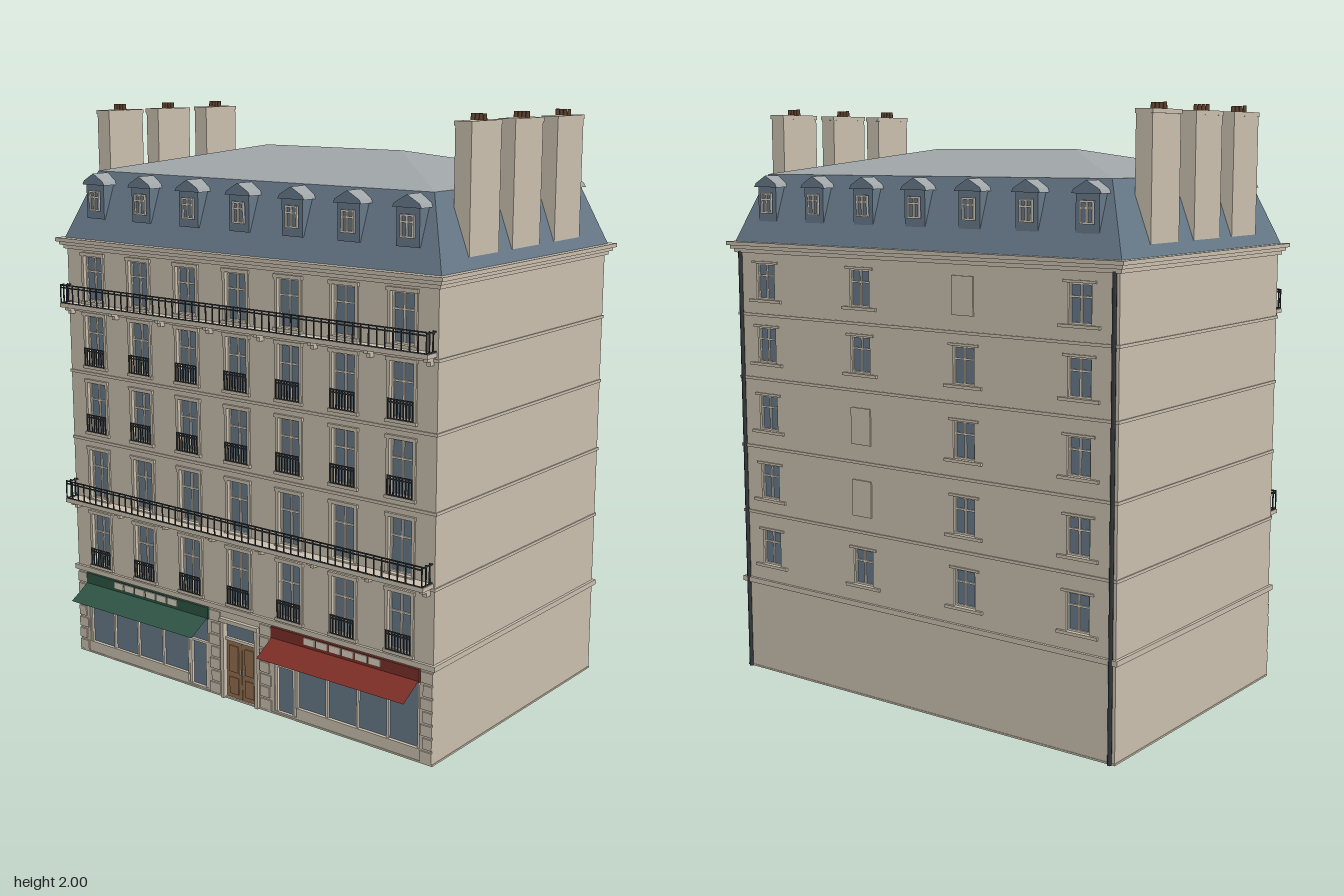
import * as THREE from 'three';

const mat = (name, color, side = THREE.FrontSide) => {
  const m = new THREE.MeshStandardMaterial({ color, side });
  m.name = name;
  return m;
};

export function createModel() {
  const stone = mat('stone', 0xcdc2b0), slate = mat('slate', 0x687a8a), zinc = mat('zinc', 0xa0a5a8);
  const glass = mat('glass', 0x687b8b), trim = mat('trim', 0xdcd3c2), iron = mat('iron', 0x34383c);
  const green = mat('greenCloth', 0x2f5546, THREE.DoubleSide), red = mat('redCloth', 0x7d2f27, THREE.DoubleSide);
  const wood = mat('wood', 0x94704f), clay = mat('clay', 0x5f432f);

  const model = new THREE.Group();
  model.name = 'cornerlessTownhouse';
  const group = (name, parent) => {
    const g = new THREE.Group();
    g.name = name;
    parent.add(g);
    return g;
  };
  const add = (parent, name, geo, m) => {
    const mesh = new THREE.Mesh(geo, m);
    mesh.name = name;
    parent.add(mesh);
    return mesh;
  };
  // box given by its limits on each axis
  const box = (parent, name, m, x0, x1, y0, y1, z0, z1) => {
    const b = add(parent, name, new THREE.BoxGeometry(x1 - x0, y1 - y0, z1 - z0), m);
    b.position.set((x0 + x1) / 2, (y0 + y1) / 2, (z0 + z1) / 2);
    return b;
  };

  const W = 0.79, ZF = 0.473, ZB = -0.535, TOP = 1.51, T = 0.02;
  // facade groups: local z = 0 is the outer wall surface
  const front = group('frontFacade', model);
  front.position.z = ZF;
  const back = group('backFacade', model);
  back.position.z = ZB;
  back.rotation.y = Math.PI;

  // wall with rectangular openings [x0, x1, y0, y1]
  const wall = (parent, name, holes) => {
    const rect = (C, x0, x1, y0, y1) => new C([[x0, y0], [x1, y0], [x1, y1], [x0, y1]].map(p => new THREE.Vector2(...p)));
    const s = rect(THREE.Shape, -W, W, 0, TOP);
    holes.forEach(h => s.holes.push(rect(THREE.Path, ...h)));
    const g = new THREE.ExtrudeGeometry(s, { depth: T, bevelEnabled: false });
    add(parent, name, g.translate(0, 0, -T), stone);
  };

  // glazed casement with mullion, transom and raised surround
  const casement = (parent, x, y0, y1, w, z = -0.012, surround = true) => {
    const g = group('window', parent), h = w / 2, f = 0.006;
    g.position.x = x;
    box(g, 'pane', glass, -h, h, y0, y1, z - 0.006, z);
    const ym = y0 + (y1 - y0) * 0.64, zf = z + 0.005;
    [-h, -f / 2, h - f].forEach(a => box(g, 'stile', trim, a, a + f, y0, y1, z, zf));
    [y0, ym, y1 - f].forEach(a => box(g, 'bar', trim, -h, h, a, a + f, z, zf));
    if (surround) {
      [-h - 0.011, h].forEach(a => box(g, 'jamb', stone, a, a + 0.011, y0, y1, -0.004, 0.006));
      box(g, 'lintel', stone, -h - 0.014, h + 0.014, y1, y1 + 0.012, -0.004, 0.009);
      box(g, 'sill', stone, -h - 0.014, h + 0.014, y0 - 0.01, y0, -0.004, 0.011);
    }
    return g;
  };

  // iron railing along x with closely set balusters
  const railing = (parent, x0, x1, y0, y1, z, step) => {
    const g = group('railing', parent), t = 0.004;
    [y0, y0 + (y1 - y0) * 0.8, y1 - t].forEach(y => box(g, 'rail', iron, x0, x1, y, y + t, z - t, z));
    const n = Math.round((x1 - x0) / step);
    for (let i = 0; i <= n; i++) {
      const x = x0 + (x1 - x0) * i / n;
      box(g, 'baluster', iron, x - 0.0018, x + 0.0018, y0, y1, z - 0.0035, z);
    }
  };

  // front wall and its windows
  const cols = [-3, -2, -1, 0, 1, 2, 3].map(i => i * 0.2205);
  const rows = [[0.35, 0.545], [0.605, 0.785], [0.852, 1.032], [1.093, 1.273], [1.325, 1.485]];
  const holes = [[-0.07, 0.07, 0.004, 0.28], [0.15, 0.74, 0.012, 0.272], [-0.74, -0.15, 0.012, 0.272]];
  cols.forEach(x => rows.forEach(([a, b]) => holes.push([x - 0.044, x + 0.044, a, b])));
  wall(front, 'frontWall', holes);
  cols.forEach(x => rows.forEach(([a, b], r) => {
    casement(front, x, a, b, 0.088);
    if (r !== 1 && r !== 4) railing(front, x - 0.046, x + 0.046, a, a + 0.065, 0.012, 0.0115);
  }));

  // back wall, a few openings bricked up
  const blind = { '1,1': 1, '1,2': 1, '2,4': 1 };
  const backHoles = [], bw = 0.085;
  const backWindows = [];
  [0.66, 0.225, -0.21, -0.65].forEach((x, c) => [0.455, 0.695, 0.942, 1.183, 1.405].forEach((y, r) =>
    backWindows.push([-x, y - 0.06, y + 0.065, blind[c + ',' + r]])));
  backWindows.forEach(([x, a, b, shut]) => shut || backHoles.push([x - bw / 2, x + bw / 2, a, b]));
  wall(back, 'backWall', backHoles);
  backWindows.forEach(([x, a, b, shut]) => {
    if (shut) box(back, 'blindWindow', stone, x - bw / 2, x + bw / 2, a, b, -0.002, 0.005);
    else {
      const g = casement(back, x, a, b, bw, -0.012, false);
      box(g, 'sill', stone, -0.075, 0.075, a - 0.01, a, -0.004, 0.009);
      box(g, 'lintel', stone, -0.06, 0.06, b, b + 0.008, -0.004, 0.005);
    }
  });
  // drainpipes
  [-0.775, 0.775].forEach(x => {
    const p = add(back, 'drainpipe', new THREE.CylinderGeometry(0.007, 0.007, TOP, 8), iron);
    p.position.set(x, TOP / 2, 0.006);
  });

  // side walls and string courses
  [-1, 1].forEach(s => {
    const x = s * (W - T / 2);
    box(model, 'sideWall', stone, x - T / 2, x + T / 2, 0, TOP, ZB + T, ZF - T);
  });
  const band = (name, y0, y1, out) => {
    const g = group(name, model);
    box(g, 'bandFront', stone, -W - out, W + out, y0, y1, ZF - 0.005, ZF + out);
    box(g, 'bandBack', stone, -W - out, W + out, y0, y1, ZB - out, ZB + 0.005);
    [-1, 1].forEach(s => box(g, 'bandSide', stone, s * W - (s < 0 ? out : 0.005), s * W + (s > 0 ? out : 0.005), y0, y1, ZB, ZF));
  };
  band('groundCourse', 0.318, 0.336, 0.01);
  [0.575, 0.815, 1.06, 1.285].forEach(y => band('stringCourse', y, y + 0.01, 0.004));
  band('cornerPlinth', 0, 0.006, 0.002);
  [[1.505, 1.518, 0.01], [1.518, 1.53, 0.02], [1.53, 1.543, 0.03]].forEach(([a, b, o]) =>
    box(model, 'cornice', stone, -W - o, W + o, a, b, ZB - o, ZF + o));

  // balconies with brackets
  [[0.6, 0.057], [1.315, 0.05]].forEach(([y, d]) => {
    const g = group('balcony', front);
    box(g, 'slab', stone, -0.785, 0.785, y - 0.014, y, 0, d);
    for (let i = -3.5; i <= 3.5; i++) {
      const x = i * 0.2195;
      box(g, 'bracket', stone, x - 0.007, x + 0.007, y - 0.026, y - 0.014, 0, d * 0.7);
      box(g, 'bracketFoot', stone, x - 0.007, x + 0.007, y - 0.04, y - 0.026, 0, d * 0.4);
    }
    railing(g, -0.78, 0.78, y, y + 0.068, d, 0.03);
    [-0.78, 0.78].forEach(x => {
      [0.004, 0.064].forEach(h => box(g, 'endRail', iron, x - 0.002, x + 0.002, y + h - 0.004, y + h, 0, d));
      [0.014, 0.034].forEach(z => box(g, 'endBaluster', iron, x - 0.002, x + 0.002, y, y + 0.068, z - 0.002, z + 0.002));
    });
  });

  // entrance door
  const door = group('entrance', front);
  [-1, 1].forEach(s => {
    box(door, 'doorLeaf', wood, s * 0.035 - 0.034, s * 0.035 + 0.034, 0, 0.214, -0.018, -0.008);
    [[0.02, 0.08], [0.1, 0.195]].forEach(([a, b]) =>
      box(door, 'doorPanel', wood, s * 0.035 - 0.02, s * 0.035 + 0.02, a, b, -0.009, -0.004));
    box(door, 'doorHandle', trim, s * 0.008 - 0.002, s * 0.008 + 0.002, 0.095, 0.115, -0.008, -0.002);
    box(door, 'doorJamb', stone, s * 0.076 - 0.007, s * 0.076 + 0.007, 0, 0.286, -0.01, 0.01);
  });
  box(door, 'transomBar', trim, -0.07, 0.07, 0.212, 0.222, -0.018, -0.002);
  box(door, 'fanlight', glass, -0.07, 0.07, 0.22, 0.28, -0.018, -0.012);
  box(door, 'doorHead', stone, -0.085, 0.085, 0.278, 0.292, -0.01, 0.014);

  // shops: glazing, door, fascia and sloping awning
  [[-1, green], [1, red]].forEach(([s, cloth]) => {
    const g = group('shop', front);
    const b = (name, m, a, c, ...r) => box(g, name, m, Math.min(s * a, s * c), Math.max(s * a, s * c), ...r);
    b('shopGlass', glass, 0.15, 0.74, 0.012, 0.272, -0.017, -0.012);
    b('stallRiser', stone, 0.245, 0.74, 0.01, 0.045, -0.018, 0);
    [0.245, 0.37, 0.495, 0.615, 0.735].forEach(x => b('mullion', trim, x - 0.004, x + 0.004, 0.04, 0.272, -0.012, -0.004));
    [0.157, 0.233].forEach(x => b('doorFrame', trim, x - 0.005, x + 0.005, 0.01, 0.18, -0.012, -0.002));
    b('doorFrameTop', trim, 0.152, 0.238, 0.172, 0.18, -0.012, -0.002);
    b('fascia', cloth, 0.142, 0.742, 0.27, 0.312, 0, 0.008);
    for (let i = 0; i < 6; i++) b('fasciaPlate', trim, 0.285 + i * 0.053, 0.33 + i * 0.053, 0.285, 0.308, 0.008, 0.011);
    const awning = new THREE.PlaneGeometry(0.595, 1);
    const p = awning.attributes.position;
    for (let i = 0; i < 4; i++) p.setXYZ(i, p.getX(i) + s * 0.4425, i < 2 ? 0.275 : 0.225, i < 2 ? 0.006 : 0.087);
    awning.computeVertexNormals();
    add(g, 'awning', awning, cloth);
    // rusticated blocks beside the shop
    for (let i = 0; i < 7; i++) {
      b('quoin', stone, 0.79, i % 2 ? 0.755 : 0.746, 0.008 + i * 0.044, 0.044 + i * 0.044, -0.002, 0.005);
      b('pierBlock', stone, 0.09, i % 2 ? 0.13 : 0.138, 0.008 + i * 0.044, 0.044 + i * 0.044, -0.002, 0.005);
    }
  });

  // roof slopes between two rectangles [halfWidth, y, zFront, zBack]
  const slopes = (name, lo, hi, m) => {
    const ring = ([x, y, zf, zb]) => [[-x, y, zf], [x, y, zf], [x, y, zb], [-x, y, zb]];
    const A = ring(lo), B = ring(hi), v = [];
    for (let i = 0; i < 4; i++) {
      const j = (i + 1) % 4;
      v.push(...A[i], ...A[j], ...B[j], ...A[i], ...B[j], ...B[i]);
    }
    const g = new THREE.BufferGeometry();
    g.setAttribute('position', new THREE.Float32BufferAttribute(v, 3));
    g.computeVertexNormals();
    add(model, name, g, m);
  };
  slopes('mansard', [0.798, 1.543, 0.475, -0.54], [0.71, 1.775, 0.388, -0.458], slate);
  slopes('upperRoof', [0.712, 1.775, 0.39, -0.46], [0.29, 1.862, -0.034, -0.036], zinc);

  // dormers on both long sides
  const gable = new THREE.Shape([[-0.054, 1.732], [0.054, 1.732], [0.046, 1.745], [0, 1.771], [-0.046, 1.745]]
    .map(p => new THREE.Vector2(...p)));
  [front, back].forEach(f => cols.forEach(x => {
    const g = group('dormer', f);
    g.position.x = x;
    box(g, 'dormerBody', slate, -0.042, 0.042, 1.615, 1.735, -0.085, -0.02);
    const roof = new THREE.ExtrudeGeometry(gable, { depth: 0.078, bevelEnabled: false });
    add(g, 'dormerRoof', roof.translate(0, 0, -0.09), [slate, zinc]);
    casement(g, 0, 1.642, 1.712, 0.05, -0.017, false);
  }));

  // chimney stacks with a row of pots
  [-1, 1].forEach(s => [0.228, -0.018, -0.277].forEach(z => {
    const g = group('chimney', model);
    g.position.set(s * 0.757, 0, z);
    box(g, 'stack', stone, -0.029, 0.029, 1.58, 1.97, -0.083, 0.083);
    box(g, 'stackCap', stone, -0.031, 0.031, 1.966, 1.98, -0.086, 0.086);
    for (let i = 0; i < 4; i++) {
      const pot = add(g, 'chimneyPot', new THREE.CylinderGeometry(0.006, 0.007, 0.022, 8), clay);
      pot.position.set(-0.0215 + i * 0.0143, 1.989, 0);
    }
  }));

  return model;
}
